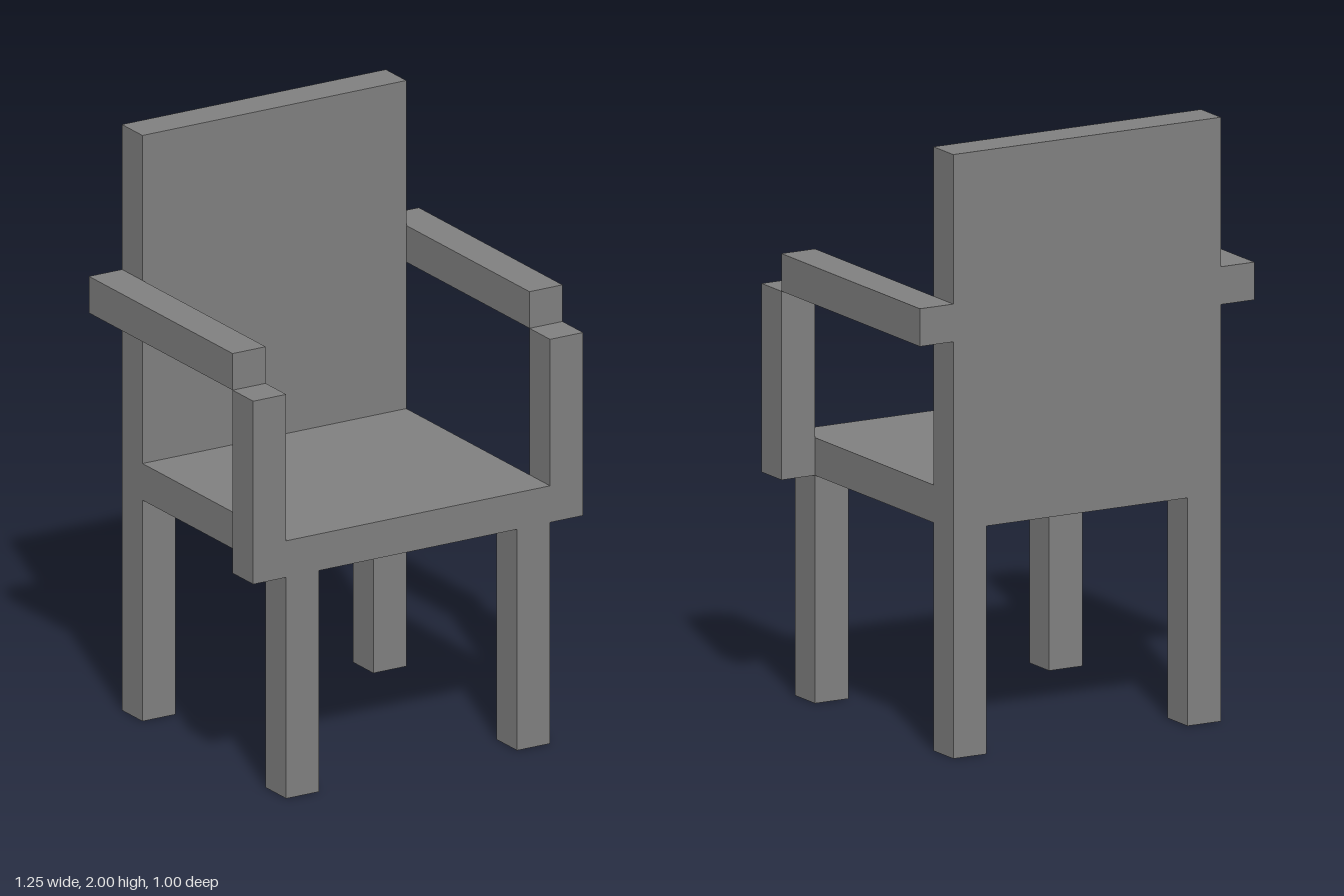
import * as THREE from 'three';

export function createModel() {
  const group = new THREE.Group();
  const grey = new THREE.MeshStandardMaterial({ color: 0x808080 });
  grey.name = 'grey';

  const T = 0.125;        // thickness of every board and post
  const SEAT_BOTTOM = 0.755, SEAT_TOP = 0.88, ARM_BOTTOM = 1.38;

  // Box given by its min and max corners
  function box(name, [x0, y0, z0], [x1, y1, z1]) {
    const mesh = new THREE.Mesh(new THREE.BoxGeometry(x1 - x0, y1 - y0, z1 - z0), grey);
    mesh.position.set((x0 + x1) / 2, (y0 + y1) / 2, (z0 + z1) / 2);
    mesh.name = name;
    group.add(mesh);
    return mesh;
  }

  // Seat and backrest
  box('seat', [-0.5, SEAT_BOTTOM, -0.5], [0.5, SEAT_TOP, 0.5]);
  box('backrest', [-0.5, SEAT_TOP, -0.5], [0.5, 2, -0.5 + T]);

  // Legs, arm posts and armrests, mirrored left and right
  for (const [side, s] of [['left', 1], ['right', -1]]) {
    const parts = [
      box(side + 'FrontLeg', [0.5 - T, 0, 0.5 - T], [0.5, SEAT_BOTTOM, 0.5]),
      box(side + 'BackLeg', [0.5 - T, 0, -0.5], [0.5, SEAT_BOTTOM, -0.5 + T]),
      box(side + 'ArmPost', [0.5, SEAT_BOTTOM, 0.5 - T], [0.5 + T, ARM_BOTTOM, 0.5]),
      box(side + 'Armrest', [0.5, ARM_BOTTOM, -0.5], [0.5 + T, ARM_BOTTOM + T, 0.5 - T]),
    ];
    for (const part of parts) part.position.x *= s;
  }

  return group;
}
